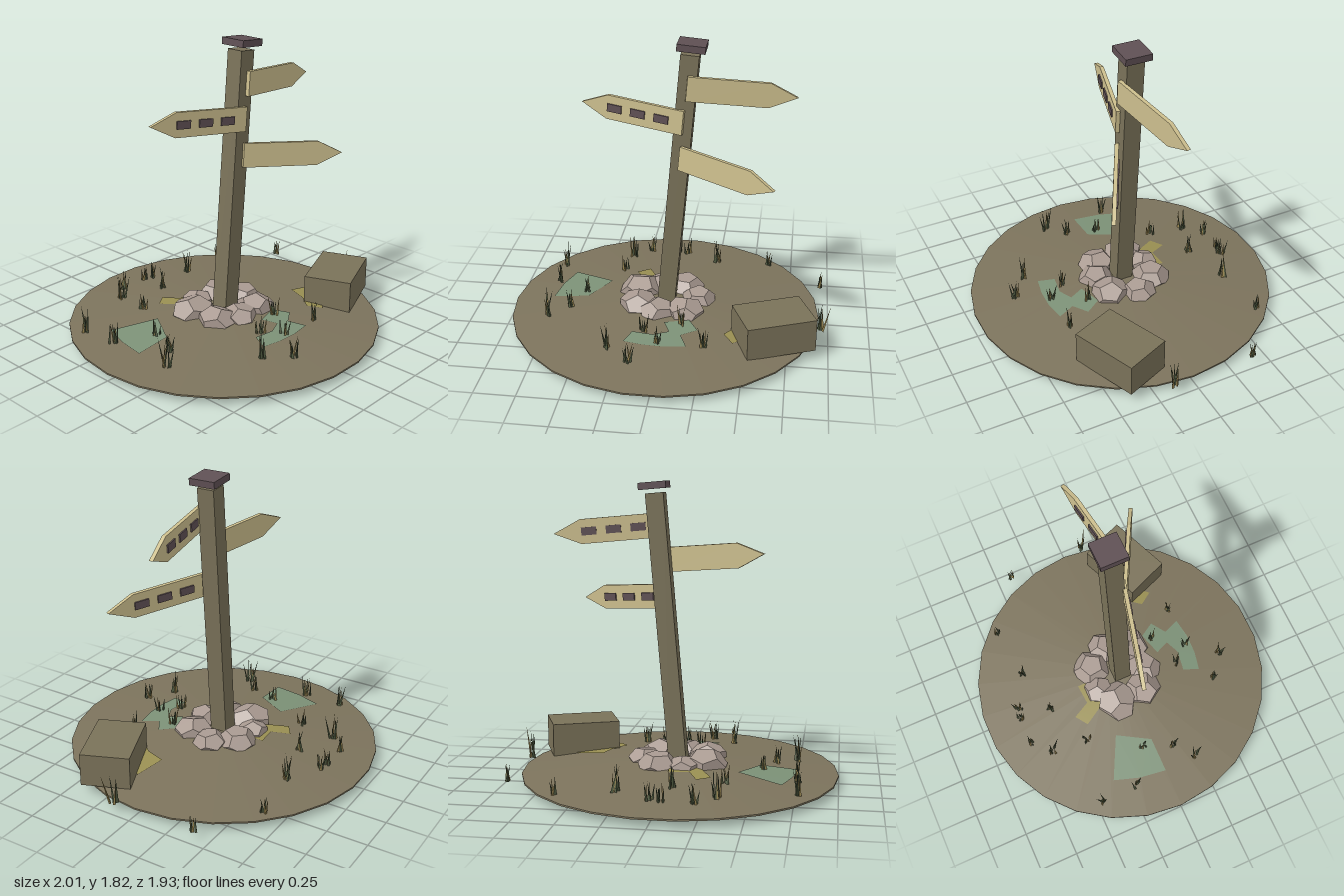
import * as THREE from 'three';
import { mergeGeometries } from 'three/addons/utils/BufferGeometryUtils.js';

const mat = (name, color, extra = {}) => {
  const m = new THREE.MeshStandardMaterial({ color, ...extra });
  m.name = name;
  return m;
};

export function createModel() {
  const model = new THREE.Group();
  model.name = 'signpost';
  const both = { side: THREE.DoubleSide };
  const M = {
    earth: mat('earth', 0x7c735c, { flatShading: true }),
    wood: mat('weathered wood', 0x7a7259),
    board: mat('pale board', 0xcdbf8e),
    dark: mat('dark plum', 0x5f5054),
    stone: mat('stone', 0xaa9b92, { flatShading: true }),
    moss: mat('moss', 0x7c9177, both),
    lichen: mat('yellow lichen', 0x998f52, both),
    grass: mat('dark grass', 0x4f5a40, { flatShading: true }),
    straw: mat('dry grass', 0x94824f, { flatShading: true }),
  };
  const add = (parent, name, geo, material, x = 0, y = 0, z = 0) => {
    const mesh = new THREE.Mesh(geo, material);
    mesh.name = name;
    mesh.position.set(x, y, z);
    parent.add(mesh);
    return mesh;
  };
  let seed = 7;
  const rand = (a, b) => {
    seed = (seed * 16807) % 2147483647;
    return a + (b - a) * (seed / 2147483647);
  };

  // Ground: shallow 26-sided mound with a dark underside
  const groundX = -0.03, groundR = 0.97;
  const groundY = (x, z) => {
    const r = Math.hypot(x - groundX, z);
    return r < 0.25 ? 0.125 - 0.04 * r : Math.max(0.05, 0.115 - (r - 0.25) * 0.0903);
  };
  const profile = [[groundR, 0.04], [groundR, 0.05], [0.25, 0.115], [0, 0.125]]
    .map(([r, y]) => new THREE.Vector2(r, y));
  add(model, 'ground', new THREE.LatheGeometry(profile, 26), M.earth, groundX).rotation.y = Math.PI / 2;
  add(model, 'groundUnderside', new THREE.CircleGeometry(groundR, 26), M.dark, groundX, 0.04)
    .rotation.x = Math.PI / 2;

  // Moss and lichen patches draped over the mound
  const patch = (name, pts, material) => {
    const geo = new THREE.ShapeGeometry(new THREE.Shape(pts.map(([x, z]) => new THREE.Vector2(x, -z))));
    geo.rotateX(-Math.PI / 2);
    const p = geo.attributes.position;
    for (let i = 0; i < p.count; i++) p.setY(i, groundY(p.getX(i), p.getZ(i)) + 0.006);
    geo.computeVertexNormals();
    add(model, name, geo, material);
  };
  patch('mossLeft', [[-0.675, -0.34], [-0.41, -0.205], [-0.53, 0], [-0.755, 0], [-0.73, -0.175]], M.moss);
  patch('mossFront', [[-0.22, 0.5], [-0.18, 0.4], [-0.05, 0.42], [0.04, 0.38], [0, 0.29], [0.15, 0.245],
    [0.21, 0.34], [0.115, 0.405], [0.16, 0.51], [0.03, 0.53], [-0.1, 0.525]], M.moss);
  patch('lichenBack', [[-0.265, -0.345], [-0.185, -0.4], [-0.13, -0.29], [0, -0.3], [0, -0.2], [-0.18, -0.2]], M.lichen);
  patch('lichenRight', [[0.485, 0.125], [0.68, 0.17], [0.43, 0.43], [0.37, 0.345], [0.445, 0.25]], M.lichen);

  // Leaning post with a loose cap
  const post = new THREE.Group();
  post.name = 'post';
  post.position.set(-0.03, 0.005, 0);
  post.rotation.z = -0.086;
  model.add(post);
  add(post, 'postShaft', new THREE.BoxGeometry(0.11, 1.745, 0.11), M.wood, 0, 0.8725, 0);
  add(post, 'postCap', new THREE.BoxGeometry(0.168, 0.042, 0.168), M.dark, 0.005, 1.79, 0);

  // Arrow boards, each with three dark plates on one face
  const arrow = new THREE.Shape([[0, -0.075], [0.485, -0.075], [0.65, 0], [0.485, 0.075], [0, 0.075]]
    .map(([x, y]) => new THREE.Vector2(x, y)));
  const boardGeo = new THREE.ExtrudeGeometry(arrow, { depth: 0.024, bevelEnabled: false });
  boardGeo.translate(0, 0, -0.012);
  const plateGeo = new THREE.BoxGeometry(0.092, 0.048, 0.009);
  [['upperSign', 1.55, 0.14], ['middleSign', 1.338, Math.PI - 0.25], ['lowerSign', 1.115, -0.48]]
    .forEach(([name, y, yaw]) => {
      const sign = new THREE.Group();
      sign.name = name;
      sign.position.set(0, y, 0.07);
      sign.rotation.y = yaw;
      post.add(sign);
      add(sign, 'board', boardGeo, M.board);
      [0.135, 0.285, 0.435].forEach((x) => add(sign, 'plate', plateGeo, M.dark, x, 0, -0.016));
    });

  // Ring of stones round the foot of the post: x, z, radius
  const stones = [[-0.2, -0.1, 0.14], [-0.08, -0.185, 0.1], [0.08, -0.165, 0.125], [0.18, -0.03, 0.11],
    [0.11, 0.14, 0.125], [-0.06, 0.16, 0.115], [-0.19, 0.09, 0.125]];
  stones.forEach(([x, z, r], i) => {
    const geo = new THREE.DodecahedronGeometry(r);
    geo.rotateX(i * 1.3).rotateY(i * 2.1).scale(1, 0.72, 1);
    add(model, 'stone', geo, M.stone, x, 0.115, z);
  });

  // Crate
  add(model, 'crate', new THREE.BoxGeometry(0.43, 0.205, 0.3), M.wood, 0.668, 0.165, 0.346).rotation.y = 0.39;

  // Grass tufts: x, z, height
  const tufts = [[-0.22, -0.74, 0.13], [-0.04, -0.73, 0.12], [0.03, -0.72, 0.13], [-0.33, -0.63, 0.17],
    [0.25, -0.61, 0.17], [0.6, -0.65, 0.11], [-0.065, -0.53, 0.16], [-0.355, -0.39, 0.12],
    [-0.77, -0.46, 0.17], [-0.77, -0.22, 0.15], [-0.55, -0.07, 0.11], [-0.615, 0.115, 0.13],
    [-0.74, 0.22, 0.18], [-0.115, 0.385, 0.12], [0.1, 0.3, 0.15], [-0.02, 0.485, 0.12],
    [0.255, 0.49, 0.15], [-0.305, 0.57, 0.17], [-0.16, 0.68, 0.14], [0.95, -0.4, 0.11], [0.955, 0.135, 0.2]];
  const blades = { grass: [], straw: [] };
  tufts.forEach(([x, z, h]) => {
    for (let i = 0; i < 6; i++) {
      const height = h * rand(0.65, 1.05);
      const blade = new THREE.ConeGeometry(0.009, height, 3);
      blade.translate(0, height / 2, 0);
      blade.rotateZ(rand(0.04, 0.26)).rotateY(i * 1.05 + rand(0, 0.8));
      const bx = x + rand(-0.02, 0.02), bz = z + rand(-0.02, 0.02);
      blade.translate(bx, groundY(bx, bz) - 0.005, bz);
      blades[i % 3 === 2 ? 'straw' : 'grass'].push(blade);
    }
  });
  add(model, 'grassBlades', mergeGeometries(blades.grass), M.grass);
  add(model, 'dryBlades', mergeGeometries(blades.straw), M.straw);

  return model;
}
